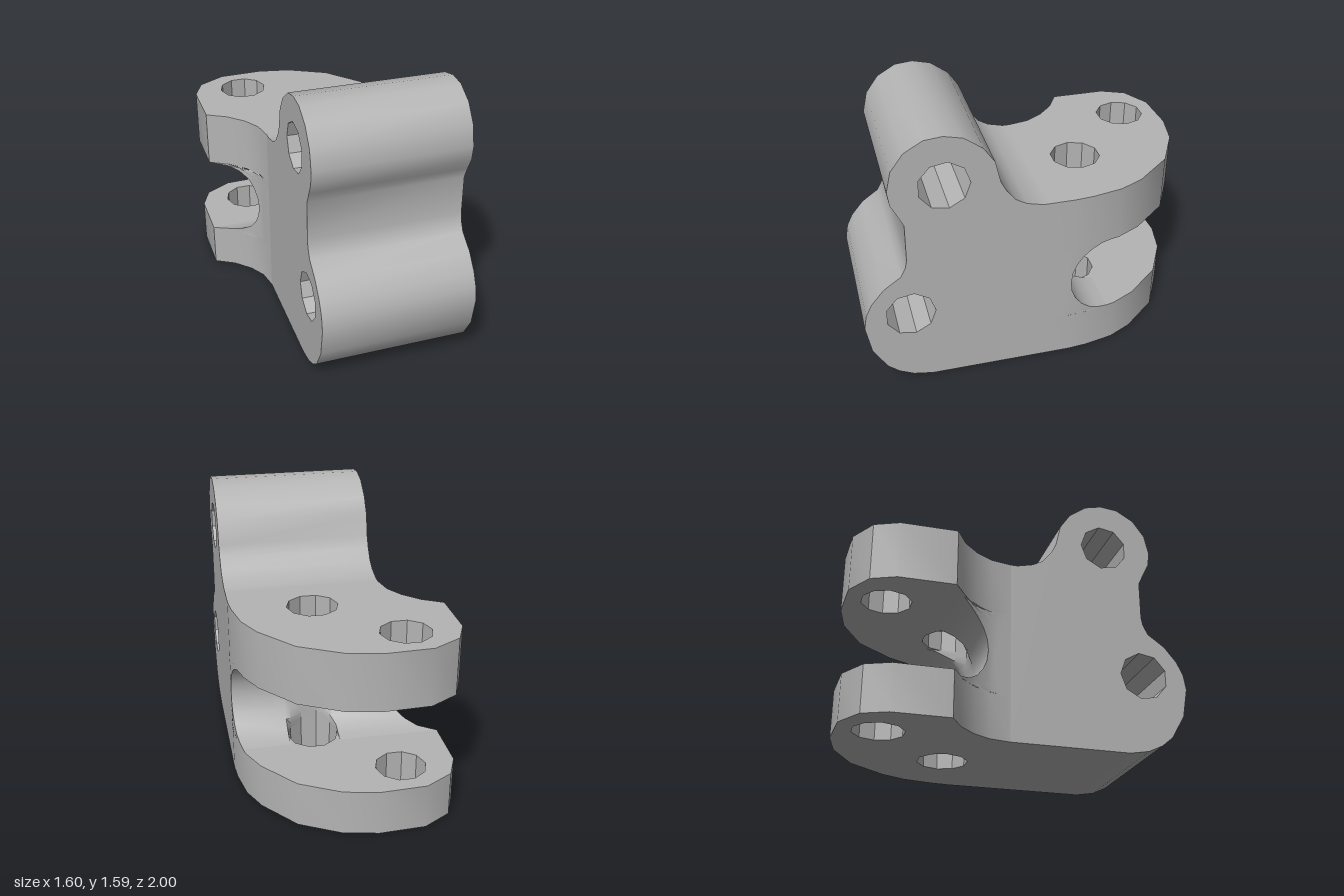
import * as THREE from 'three';
import { toCreasedNormals } from 'three/addons/utils/BufferGeometryUtils.js';

const CREASE = 0.6;
const X0 = -0.327, X1 = 0.573;       // body width
const JOIN = -0.117;                 // where the body meets the clevis
const SLOT = { y: 0.51, z: -0.499, r: 0.245 };
const PIN = { x: 0.117, z: -0.398, r: 0.145 };

// Clevis edges as [x, z], from the body backwards
const LEFT = [[X0, JOIN], [-0.35, -0.239], [-0.407, -0.337], [-0.496, -0.428], [-0.613, -0.496]];
const RIGHT = [[X1, JOIN], [X1, -0.26], [0.564, -0.366], [0.53, -0.542], [0.463, -0.684], [0.292, -0.895]];
const BACK = [[0.066, -1.018], [-0.13, -1.058], [-0.392, -1.047], [-0.551, -0.955], [-0.612, -0.816]];

// Side outline of the body as [z, y]
const SIDE = [
  [JOIN, 0], [0.578, 0], [0.69, 0.02], [0.774, 0.06], [0.84, 0.115], [0.919, 0.25], [0.95, 0.42],
  [0.935, 0.51], [0.899, 0.585], [0.826, 0.675], [0.728, 0.745], [0.7, 0.8], [0.69, 0.85],
  [0.69, 1.08], [0.723, 1.15], [0.758, 1.22], [0.769, 1.3], [0.743, 1.42], [0.671, 1.52],
  [0.567, 1.58], [0.464, 1.59], [0.36, 1.565], [0.257, 1.49], [0.195, 1.4], [0.164, 1.27],
  [0.133, 1.21], [0.081, 1.145], [0.019, 1.11], [-0.075, 1.087], [JOIN, 1.087],
];

const flip = ([a, b]) => new THREE.Vector2(a, b);

function holePath(cx, cy, r, sides) {
  const pts = [];
  for (let i = 0; i < sides; i++) {
    const t = (i / sides) * Math.PI * 2;
    pts.push(new THREE.Vector2(cx + r * Math.cos(t), cy + r * Math.sin(t)));
  }
  return new THREE.Path(pts);
}

function extrude(points, holes, depth) {
  const shape = new THREE.Shape(points.map(flip));
  shape.holes.push(...holes);
  return new THREE.ExtrudeGeometry(shape, { depth, bevelEnabled: false });
}

// x on an edge polyline at a given z
function edgeX(edge, z) {
  for (let i = 1; i < edge.length; i++) {
    const [ax, az] = edge[i - 1], [bx, bz] = edge[i];
    if (z >= bz) return ax + (bx - ax) * (az - z) / (az - bz);
  }
  return edge[edge.length - 1][0];
}

// Wall between the plates: rounded slot end, notched by the pin hole
function webGeometry() {
  const rows = [];
  const steps = 12, n = 6;
  for (let j = 0; j <= steps; j++) {
    const t = (j / steps - 0.5) * Math.PI;
    const y = SLOT.y + SLOT.r * Math.sin(t);
    const zs = Math.max(SLOT.z + SLOT.r * Math.cos(t), -0.496);
    const row = [];
    const along = (edge, f) => {
      const z = JOIN + (zs - JOIN) * f;
      row.push([edgeX(edge, z), y, z]);
    };
    for (let i = 0; i <= n; i++) along(LEFT, i / n);
    row.push([PIN.x - PIN.r, y, zs]);
    for (let k = 5; k >= 0; k--) {
      const a = (k / 5) * Math.PI;
      row.push([PIN.x + PIN.r * Math.cos(a), y, Math.max(zs, PIN.z + PIN.r * Math.sin(a))]);
    }
    row.push([PIN.x + PIN.r, y, zs]);
    for (let i = n; i >= 0; i--) along(RIGHT, i / n);
    rows.push(row);
  }
  const pos = [], index = [], w = rows[0].length;
  rows.forEach(row => row.forEach(p => pos.push(...p)));
  for (let j = 0; j < steps; j++) {
    for (let i = 0; i < w - 1; i++) {
      const a = j * w + i, b = a + 1, c = b + w, d = a + w;
      index.push(a, c, b, a, d, c);
    }
  }
  const g = new THREE.BufferGeometry();
  g.setAttribute('position', new THREE.Float32BufferAttribute(pos, 3));
  g.setIndex(index);
  return g;
}

export function createModel() {
  const grey = new THREE.MeshStandardMaterial({ color: 0xb4b4b4 });
  grey.name = 'grey';
  const group = new THREE.Group();
  group.name = 'bracket';
  const add = (name, geometry) => {
    const mesh = new THREE.Mesh(toCreasedNormals(geometry, CREASE), grey);
    mesh.name = name;
    group.add(mesh);
  };

  // Two-lobed body with a cross hole through each lobe
  const body = extrude(
    SIDE.map(([z, y]) => [-z, y]),
    [holePath(-0.686, 0.475, 0.143, 9), holePath(-0.469, 1.295, 0.143, 9)],
    X1 - X0,
  );
  body.rotateY(Math.PI / 2).translate(X0, 0, 0);
  add('body', body);

  // Upper and lower clevis plates
  const outline = [...RIGHT, ...BACK, ...[...LEFT].reverse()].map(([x, z]) => [x, -z]);
  const plates = [['lowerPlate', 0, SLOT.y - SLOT.r], ['upperPlate', SLOT.y + SLOT.r, 1.087]];
  for (const [name, y0, y1] of plates) {
    const holes = [holePath(PIN.x, -PIN.z, PIN.r, 10), holePath(-0.301, 0.826, 0.143, 10)];
    const plate = extrude(outline, holes, y1 - y0);
    plate.rotateX(-Math.PI / 2).translate(0, y0, 0);
    add(name, plate);
  }

  add('slotWall', webGeometry());

  // The whole bracket is turned a little about the vertical
  group.rotation.y = Math.PI / 12;
  return group;
}
